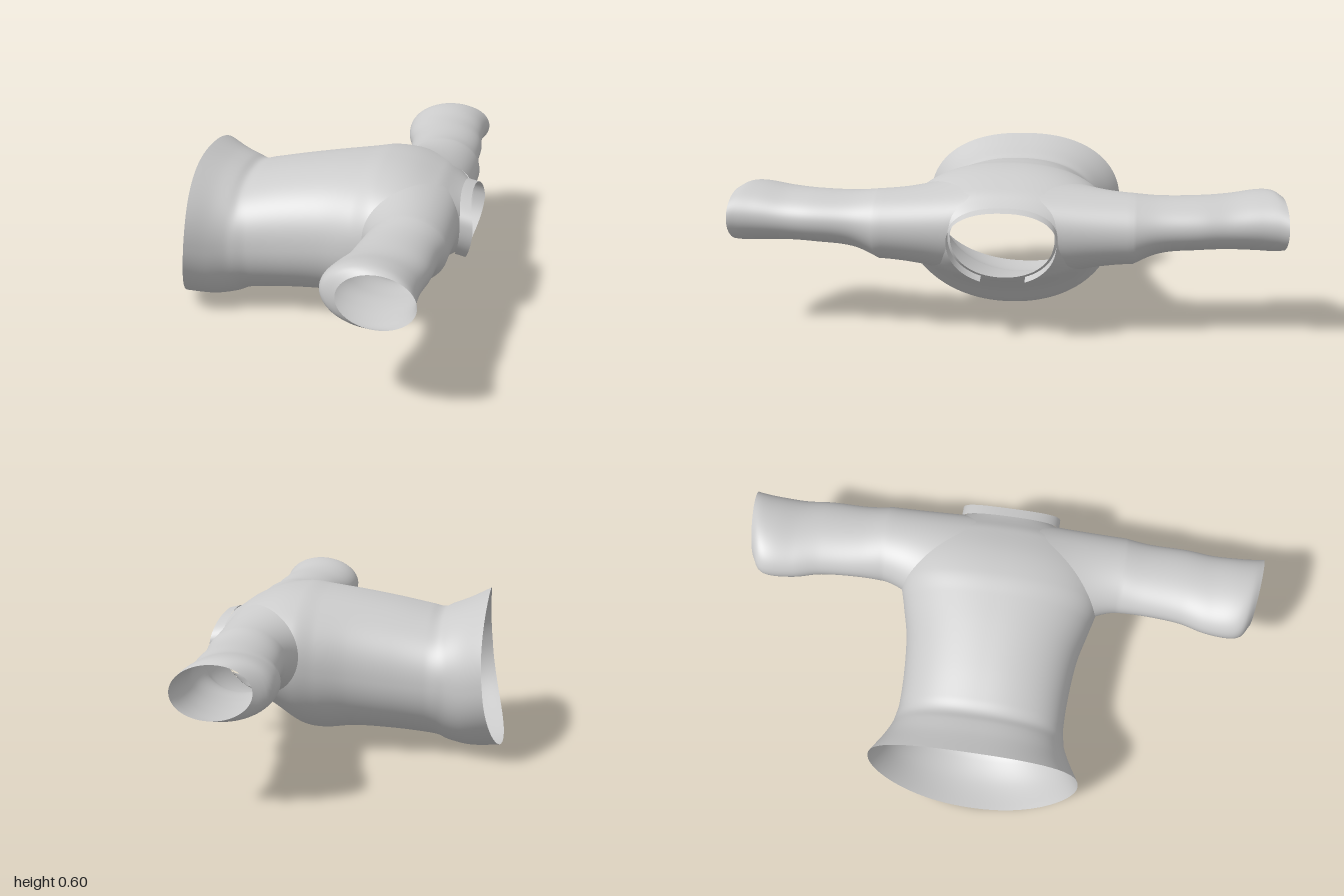
import * as THREE from 'three';

const material = new THREE.MeshStandardMaterial({ color: 0xcccccc, side: THREE.DoubleSide });

// Torso stations: x, top y, bottom y, half width, height of widest point
const TORSO = [
  [-0.497, 0.585, 0.01, 0.4, 0.3],
  [-0.42, 0.548, 0.0, 0.36, 0.28],
  [-0.36, 0.525, 0.015, 0.333, 0.28],
  [-0.325, 0.51, 0.032, 0.325, 0.28],
  [-0.28, 0.52, 0.04, 0.318, 0.28],
  [-0.15, 0.547, 0.052, 0.32, 0.29],
  [0, 0.572, 0.057, 0.335, 0.31],
  [0.12, 0.587, 0.047, 0.365, 0.33],
  [0.2, 0.595, 0.065, 0.385, 0.36],
  [0.3, 0.582, 0.14, 0.385, 0.38],
  [0.4, 0.545, 0.2, 0.355, 0.39],
  [0.46, 0.512, 0.225, 0.27, 0.39],
  [0.505, 0.487, 0.235, 0.185, 0.39],
];

// Sleeve stations: z, centre x, radius x, centre y, radius y
const SLEEVE = [
  [0.43, 0.35, 0.152, 0.39, 0.135],
  [0.55, 0.335, 0.145, 0.41, 0.102],
  [0.7, 0.325, 0.15, 0.418, 0.095],
  [0.8, 0.306, 0.158, 0.421, 0.097],
  [0.9, 0.301, 0.162, 0.427, 0.106],
  [0.955, 0.312, 0.156, 0.427, 0.106],
  [0.985, 0.34, 0.135, 0.424, 0.094],
];
const ARMHOLE = { x: 0.335, rx: 0.165, y: 0.395, ry: 0.155 };

// Smooth cubic interpolation of a station table by its first column
function sample(table, k) {
  const last = table.length - 1;
  let i = 0;
  while (i < last - 1 && k > table[i + 1][0]) i++;
  const slope = (j, c) => {
    const a = table[Math.max(j - 1, 0)], b = table[Math.min(j + 1, last)];
    return (b[c] - a[c]) / (b[0] - a[0]);
  };
  const p = table[i], q = table[i + 1], d = q[0] - p[0];
  const t = THREE.MathUtils.clamp((k - p[0]) / d, 0, 1), t2 = t * t, t3 = t2 * t;
  return p.map((v, c) => c === 0 ? k :
    (2 * t3 - 3 * t2 + 1) * v + (t3 - 2 * t2 + t) * d * slope(i, c) +
    (3 * t2 - 2 * t3) * q[c] + (t3 - t2) * d * slope(i + 1, c));
}

const power = (top) => (top ? 2.3 : 2.1);

// Point on the torso at station x and angle a, with slanted hem and neck
function torsoPoint(x, a, scale = 1) {
  const [, top, bottom, w, c] = sample(TORSO, x);
  const s = Math.sin(a), co = Math.cos(a), e = 2 / power(s > 0);
  const v = Math.sign(s) * Math.abs(s) ** e;
  const hem = 1 - THREE.MathUtils.smoothstep(x, -0.497, -0.34);
  const neck = THREE.MathUtils.smoothstep(x, 0.41, 0.505);
  const shift = hem * (v > 0 ? 0.03 * v - 0.033 * v * v : 0.02 * v - 0.048 * v * v) -
    neck * v * v * (v > 0 ? 0.014 : 0.035);
  return [x + shift, c + scale * v * (v > 0 ? top - c : c - bottom),
    scale * w * Math.sign(co) * Math.abs(co) ** e];
}

// Half width of the torso at a given x and y
function torsoZ(x, y) {
  const [, top, bottom, w, c] = sample(TORSO, x);
  const v = Math.min(1, Math.abs(y > c ? (y - c) / (top - c) : (c - y) / (c - bottom)));
  const p = power(y > c);
  return w * (1 - v ** p) ** (1 / p);
}

// Skin a grid of points; closed joins the last column to the first
function skin(name, rows, closed, keep = () => true) {
  const n = rows[0].length, index = [];
  for (let r = 0; r < rows.length - 1; r++) {
    for (let j = 0; j < (closed ? n : n - 1); j++) {
      const k = (j + 1) % n;
      if (!keep(rows[r][j], rows[r + 1][k])) continue;
      const a = r * n + j, b = r * n + k, c = a + n, d = b + n;
      index.push(a, c, b, b, c, d);
    }
  }
  const geometry = new THREE.BufferGeometry();
  geometry.setAttribute('position', new THREE.Float32BufferAttribute(rows.flat(2), 3));
  geometry.setIndex(index);
  geometry.computeVertexNormals();
  const mesh = new THREE.Mesh(geometry, material);
  mesh.name = name;
  return mesh;
}

const range = (n, f) => Array.from({ length: n }, (_, i) => f(i));

function createTorso() {
  const steps = 130, sides = 160;
  const rows = range(steps + 1, (i) => range(sides, (j) =>
    torsoPoint(-0.497 + (1.002 * i) / steps, (j / sides) * Math.PI * 2)));
  // Leave the armholes open
  const outside = (p, q) => Math.hypot(
    ((p[0] + q[0]) / 2 - ARMHOLE.x) / ARMHOLE.rx,
    ((p[1] + q[1]) / 2 - ARMHOLE.y) / ARMHOLE.ry) > 0.95;
  return skin('torso', rows, true, outside);
}

function createSleeve(name, side) {
  const sides = 72, blend = 12, steps = 48;
  const tube = (z, a) => {
    const [, cx, rx, cy, ry] = sample(SLEEVE, z);
    const slant = 0.014 * Math.cos(a) * THREE.MathUtils.smoothstep(z, 0.85, 0.985);
    return [cx + rx * Math.cos(a), cy + ry * Math.sin(a), z + slant];
  };
  const angles = range(sides, (j) => (j / sides) * Math.PI * 2);
  // Shoulder flare from the torso surface into the sleeve
  const flare = range(blend, (i) => angles.map((a) => {
    const t = i / blend, x = ARMHOLE.x + ARMHOLE.rx * Math.cos(a);
    const y = ARMHOLE.y + ARMHOLE.ry * Math.sin(a);
    const root = [x, y, torsoZ(x, y) - 0.004], end = tube(0.46, a);
    const ease = t * (1.6 - 0.6 * t);
    return [0, 1, 2].map((c) => root[c] + (end[c] - root[c]) * (c === 2 ? t : ease));
  }));
  const arm = range(steps + 1, (i) => angles.map((a) => tube(0.46 + (0.525 * i) / steps, a)));
  const rows = [...flare, ...arm].map((row) => row.map(([x, y, z]) => [x, y, z * side]));
  return skin(name, rows, true);
}

// Standing neckband, open at the throat
function createCollar() {
  const gap = 0.4, count = 72;
  const rows = [-0.004, 0.022, 0.045].map((out) => range(count + 1, (j) => {
    const a = -Math.PI / 2 + gap + (j / count) * (Math.PI * 2 - gap * 2);
    const [x, y, z] = torsoPoint(0.505, a, 1.05);
    return [x + out * (1 - 0.2 * Math.abs(Math.sin(a))), y - out * 0.2, z];
  }));
  return skin('collar', rows, false);
}

export function createModel() {
  const group = new THREE.Group();
  group.name = 'shirt';
  group.add(createTorso(), createSleeve('frontSleeve', 1), createSleeve('backSleeve', -1), createCollar());
  return group;
}
